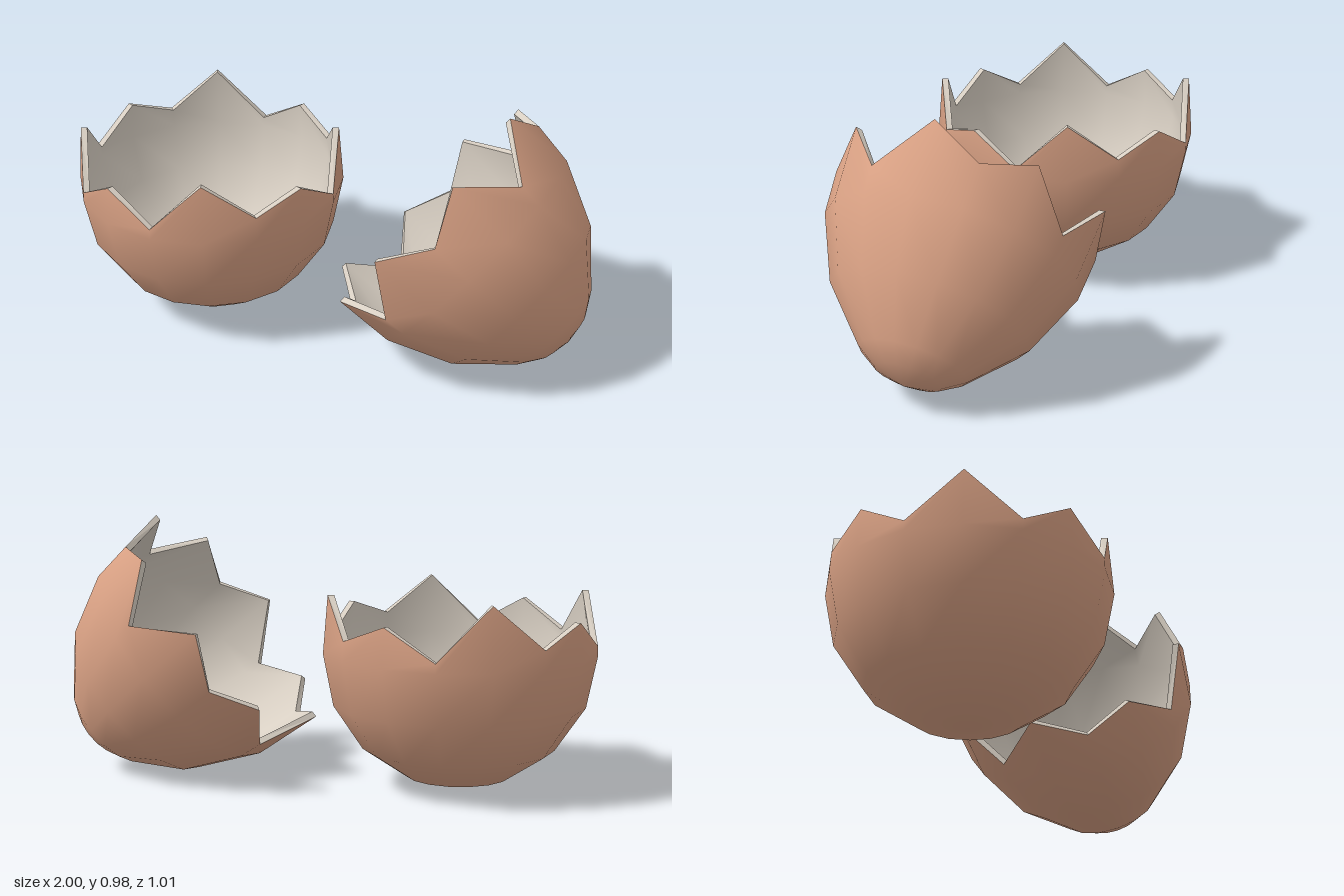
import * as THREE from 'three';

const SIDES = 16;
const THICK = 0.024;
// Height of the jagged crack above the egg's widest ring, one per meridian
const CRACK = [0.035, 0.145, 0.085, 0.225, 0.04, 0.145, 0.04, 0.215,
  0.035, 0.145, 0.07, 0.23, 0.035, 0.145, 0.075, 0.215];

const outerMat = new THREE.MeshStandardMaterial({ color: 0xd9a184 });
const innerMat = new THREE.MeshStandardMaterial({ color: 0xd8cfc3 });
const rimMat = new THREE.MeshStandardMaterial({ color: 0xd8cfc3, flatShading: true });

// One ring of points; r and h are functions of the meridian index
function ring(r, h) {
  return Array.from({ length: SIDES }, (_, j) => {
    const a = (j / SIDES) * Math.PI * 2;
    return [r(j) * Math.cos(a), h(j), r(j) * Math.sin(a)];
  });
}

// Skin a stack of rings, optionally closed by a single pole point at the start
function loft(rings, flip, pole) {
  const pos = rings.flat(2);
  const idx = [];
  const tri = (a, b, c) => (flip ? idx.push(a, c, b) : idx.push(a, b, c));
  for (let j = 0; j < SIDES; j++) {
    const k = (j + 1) % SIDES;
    for (let i = 0; i + 1 < rings.length; i++) {
      const lo = i * SIDES, hi = lo + SIDES;
      tri(lo + j, hi + j, lo + k);
      tri(lo + k, hi + j, hi + k);
    }
    if (pole !== undefined) tri(rings.length * SIDES, j, k);
  }
  if (pole !== undefined) pos.push(0, pole, 0);
  const g = new THREE.BufferGeometry();
  g.setAttribute('position', new THREE.Float32BufferAttribute(pos, 3));
  g.setIndex(idx);
  g.computeVertexNormals();
  return g;
}

// A broken shell: profile rings [radius, height] from the pole to the crack
function shell(name, pole, profile, rimRadius, flip) {
  const group = new THREE.Group();
  group.name = name;
  const add = (part, geometry, material) => {
    const mesh = new THREE.Mesh(geometry, material);
    mesh.name = part;
    group.add(mesh);
  };
  const s = 0.952; // inner wall is a slightly smaller copy
  const crack = (j) => CRACK[j];
  const rimOut = ring((j) => rimRadius(CRACK[j]), crack);
  const rimIn = ring((j) => rimRadius(CRACK[j]) - THICK, crack);
  const wall = (k) => profile.map(([r, h]) => ring(() => r * k, () => h * k));

  add('outerShell', loft([...wall(1), rimOut], flip, pole), outerMat);
  add('innerShell', loft([...wall(s), rimIn], !flip, pole * s), innerMat);
  add('crackedRim', loft([rimOut, rimIn], flip).toNonIndexed(), rimMat);
  return group;
}

export function createModel() {
  const model = new THREE.Group();
  model.name = 'crackedEggshell';

  // Round lower half, standing upright
  const R = 0.505;
  const bowl = [1, 2, 3, 4].map((i) => {
    const a = (i * Math.PI) / 8;
    return [R * Math.sin(a), -R * Math.cos(a)];
  });
  const bottom = shell('bottomHalf', -R, bowl, (h) => 0.507 - 0.09 * h, false);
  bottom.position.set(-0.495, R, 0);

  // Longer upper half, tipped over on its side
  const dome = [[0.119, 0.762], [0.195, 0.711], [0.36, 0.535], [0.4635, 0.305]];
  const top = shell('topHalf', 0.795, dome, (h) => 0.49 - 0.07 * h, true);
  top.position.set(0.331, 0.628, 0);
  top.rotation.z = -2.266;

  model.add(bottom, top);
  return model;
}
